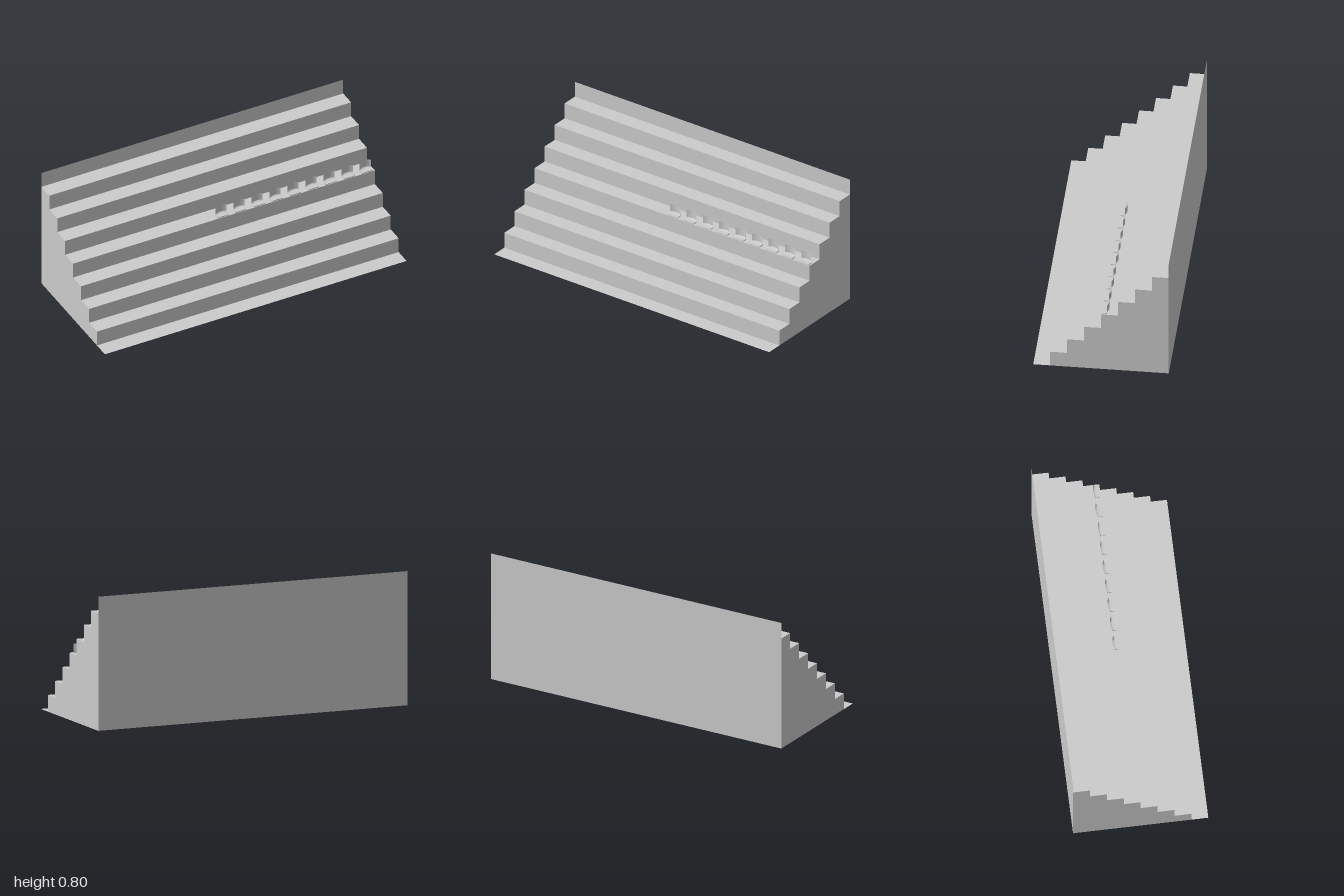
import * as THREE from 'three';

const STEP = 0.1, WIDTH = 2;

// Stepped solid: seven closed steps extruded across the full width
function makeSteps(material) {
  const shape = new THREE.Shape();
  shape.moveTo(0.4, 0); // shape x runs towards the back
  shape.lineTo(-0.3, 0);
  for (let i = 0; i < 7; i++) {
    const back = -0.3 + i * STEP, top = (i + 1) * STEP;
    shape.lineTo(back, top);
    shape.lineTo(back + STEP, top);
  }
  shape.closePath();
  const geometry = new THREE.ExtrudeGeometry(shape, { depth: WIDTH, bevelEnabled: false });
  geometry.rotateY(Math.PI / 2).translate(-WIDTH / 2, 0, 0);
  const steps = new THREE.Mesh(geometry, material);
  steps.name = 'steps';
  return steps;
}

// Seat shell: a plane bent along a side profile, with a backrest curved in plan
function makeSeatGeometry() {
  const half = 0.0375, floor = 0.4, columns = 10;
  // z, y, amount of backward bulge; from the top of the back to the front lip
  const profile = [
    [-0.034, 0.46, 1], [-0.034, 0.413, 1], [-0.032, 0.409, 0.9], [-0.028, 0.406, 0.6],
    [-0.022, 0.405, 0.2], [-0.004, 0.405, 0], [-0.004, floor, 0],
  ];
  const geometry = new THREE.PlaneGeometry(1, 1, columns, profile.length - 1);
  const pos = geometry.attributes.position;
  for (let i = 0; i < pos.count; i++) {
    const column = i % (columns + 1), row = Math.floor(i / (columns + 1));
    const [z, y, bulge] = profile[row];
    const skirt = column === 0 || column === columns; // outer columns close the sides
    const t = THREE.MathUtils.clamp((column - columns / 2) / (columns / 2 - 1), -1, 1);
    pos.setXYZ(i, t * half, skirt && row > 0 ? floor : y, z - 0.0095 * bulge * (1 - t * t));
  }
  geometry.computeVertexNormals();
  return geometry;
}

export function createModel() {
  const model = new THREE.Group();
  model.name = 'steppedStand';
  const solid = new THREE.MeshStandardMaterial({ color: 0xcccccc, flatShading: true });
  const sheet = new THREE.MeshStandardMaterial({ color: 0xcccccc, flatShading: true, side: THREE.DoubleSide });

  model.add(makeSteps(solid));

  // Thin floor strip in front of the first step
  const apron = new THREE.Mesh(new THREE.PlaneGeometry(WIDTH, STEP).rotateX(-Math.PI / 2), sheet);
  apron.position.set(0, 0, 0.35);
  apron.name = 'frontApron';

  // Thin upright sheet behind the last step
  const parapet = new THREE.Mesh(new THREE.PlaneGeometry(WIDTH, STEP), sheet);
  parapet.position.set(0, 0.75, -0.4);
  parapet.name = 'backParapet';
  model.add(apron, parapet);

  // Row of seats on the fourth step
  const seats = new THREE.Group();
  seats.name = 'seatRow';
  const seatGeometry = makeSeatGeometry();
  for (let i = 0; i < 9; i++) {
    const seat = new THREE.Mesh(seatGeometry, sheet);
    seat.name = 'seat';
    seat.position.x = -0.002 + i * 0.1194;
    seats.add(seat);
  }
  model.add(seats);
  return model;
}
